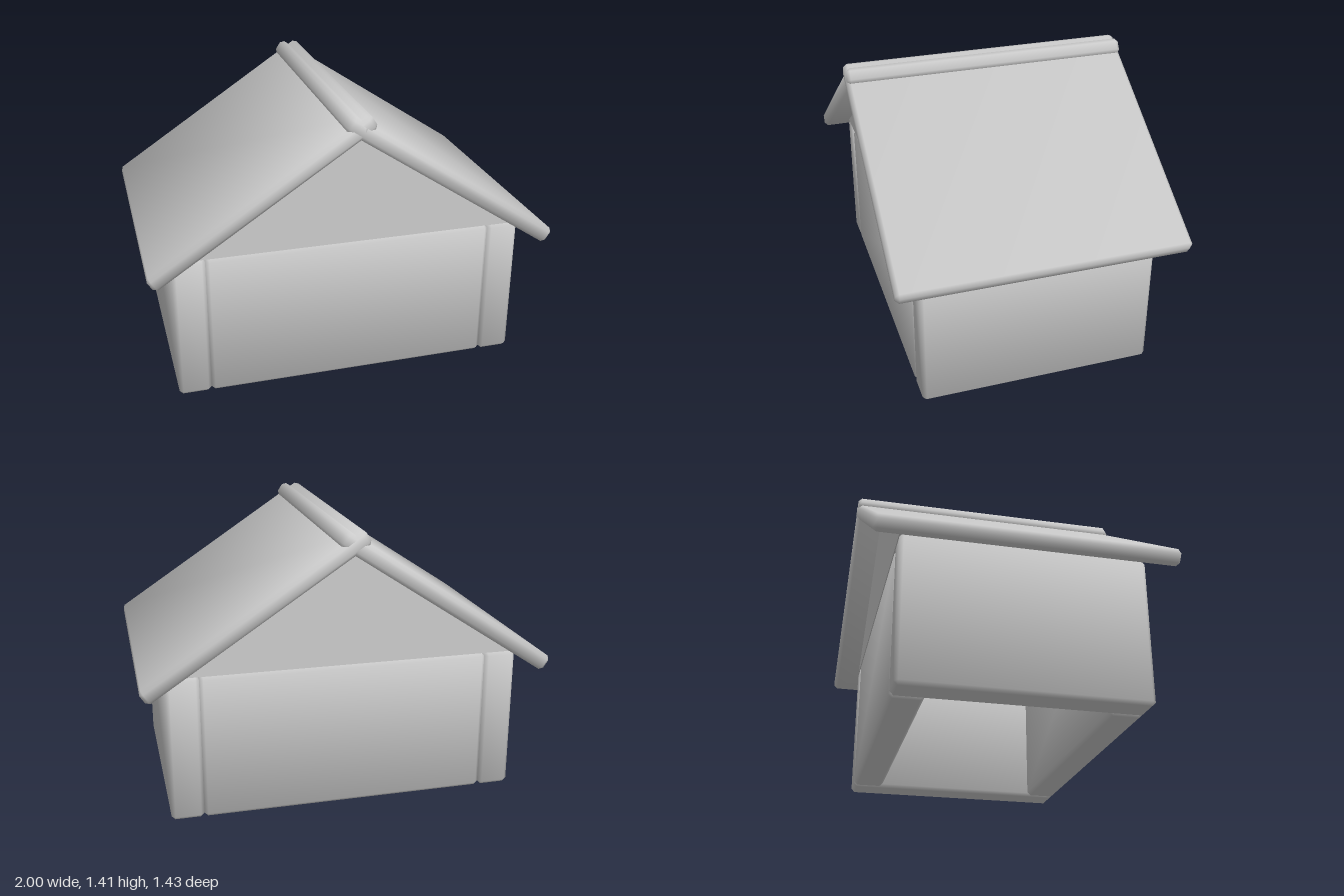
import * as THREE from 'three';
import { ConvexGeometry } from 'three/addons/geometries/ConvexGeometry.js';

const material = new THREE.MeshStandardMaterial({ color: 0xcccccc });

// Box with a single chamfer on all edges and softly blended normals
function chamferBox(w, h, d, c = 0.018) {
  const half = [w / 2, h / 2, d / 2];
  const points = [];
  for (const sx of [-1, 1]) for (const sy of [-1, 1]) for (const sz of [-1, 1]) {
    for (let axis = 0; axis < 3; axis++) {
      const p = half.map((s, i) => (i === axis ? s : s - c));
      points.push(new THREE.Vector3(sx * p[0], sy * p[1], sz * p[2]));
    }
  }
  const geometry = new ConvexGeometry(points);
  const pos = geometry.attributes.position;
  const normal = new THREE.Vector3();
  for (let i = 0; i < pos.count; i++) {
    const p = [pos.getX(i), pos.getY(i), pos.getZ(i)];
    const n = p.map((v, k) => Math.sign(v) * (Math.abs(v) > half[k] - c / 2 ? 1 : 0.43));
    normal.set(...n).normalize();
    geometry.attributes.normal.setXYZ(i, normal.x, normal.y, normal.z);
  }
  return geometry;
}

export function createModel() {
  const model = new THREE.Group();
  const add = (name, geometry, x, y, z) => {
    const mesh = new THREE.Mesh(geometry, material);
    mesh.name = name;
    mesh.position.set(x, y, z);
    model.add(mesh);
    return mesh;
  };

  const wallH = 0.73, depth = 1.166, thick = 0.16;
  const wallZ = (depth - thick) / 2;

  // Side walls run the full depth; roof slabs cross at the ridge
  const sideWall = chamferBox(thick, wallH, depth);
  const roofSlab = chamferBox(1.256, 0.08, 1.43);
  for (const [side, s] of [['left', 1], ['right', -1]]) {
    add(side + 'Wall', sideWall, s * 0.795, wallH / 2, 0);
    add(side + 'RoofSlab', roofSlab, s * 0.4625, 1.0375, 0).rotation.z = -s * 0.584;
  }

  // Front and back walls fit between the side walls, gables sit on top
  const endWall = chamferBox(1.43, wallH, thick);
  const triangle = new THREE.Shape([
    new THREE.Vector2(-0.872, 0),
    new THREE.Vector2(0.872, 0),
    new THREE.Vector2(0, 0.567),
  ]);
  const gable = new THREE.ExtrudeGeometry(triangle, { depth: thick, bevelEnabled: false });
  gable.translate(0, 0, -thick / 2);
  for (const [end, s] of [['front', 1], ['back', -1]]) {
    add(end + 'Wall', endWall, 0, wallH / 2, s * wallZ);
    add(end + 'Gable', gable, 0, wallH + 0.003, s * wallZ);
  }
  return model;
}
